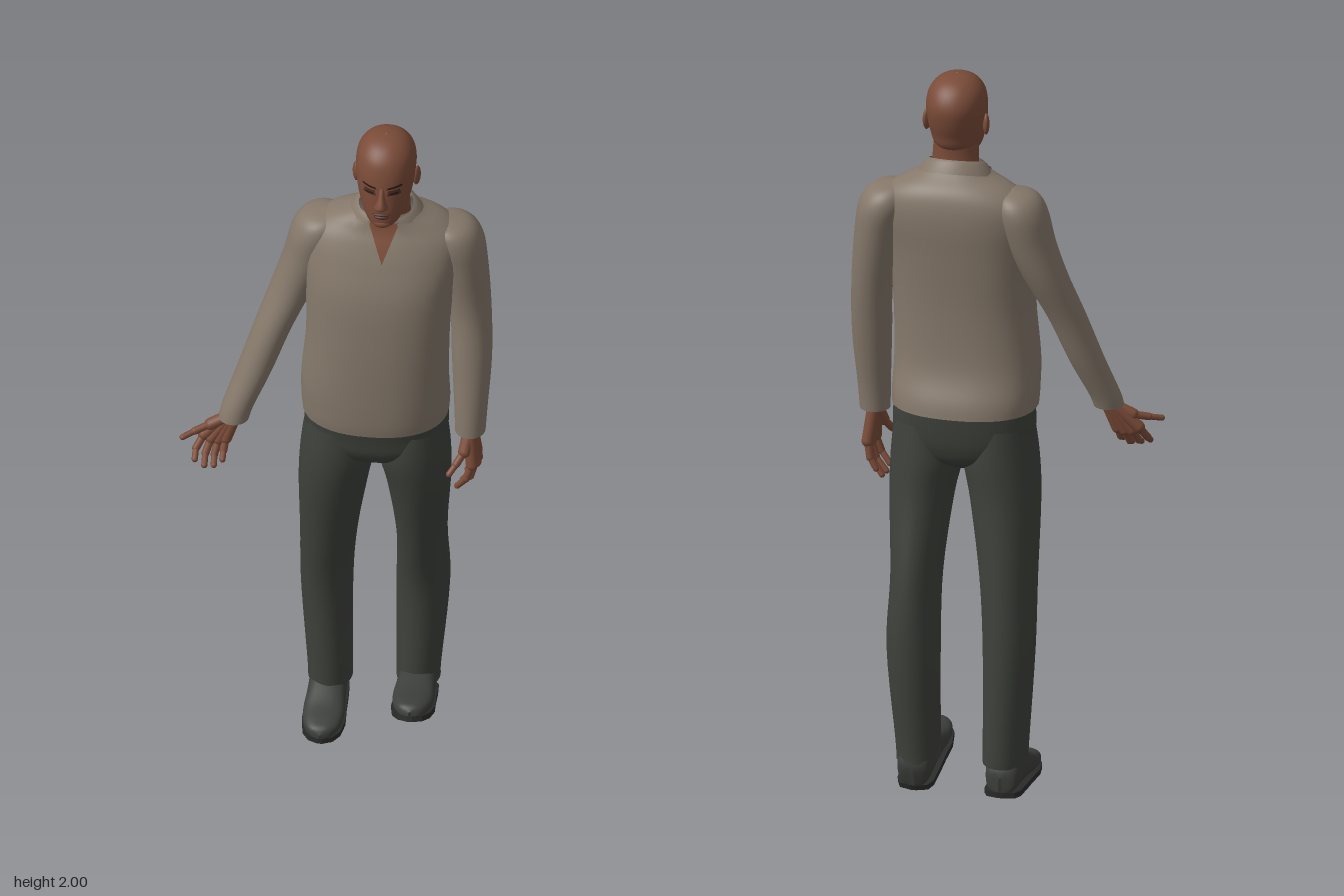
import * as THREE from 'three';

const mat = (name, color, side = THREE.FrontSide) => {
  const m = new THREE.MeshStandardMaterial({ color, side });
  m.name = name;
  return m;
};

// Smoothly subdivide a list of rings [y, x, z, rx, rz] (ascending y)
function dense(rings, steps = 5) {
  const out = [];
  const at = i => rings[Math.max(0, Math.min(rings.length - 1, i))];
  for (let i = 0; i < rings.length - 1; i++) {
    for (let s = 0; s < steps; s++) {
      const t = s / steps;
      out.push(at(i).map((b, k) => {
        const a = at(i - 1)[k], c = at(i + 1)[k], d = at(i + 2)[k];
        return b + 0.5 * t * (c - a + t * (2 * a - 5 * b + 4 * c - d + t * (3 * (b - c) + d - a)));
      }));
    }
  }
  out.push(at(rings.length - 1));
  return out;
}

function gridGeometry(pos, rows, cols, closed) {
  const index = [];
  for (let i = 0; i < rows - 1; i++) {
    for (let j = 0; j < (closed ? cols : cols - 1); j++) {
      const k = (j + 1) % cols;
      const a = i * cols + j, b = i * cols + k, c = a + cols, d = b + cols;
      index.push(a, b, d, a, d, c);
    }
  }
  const g = new THREE.BufferGeometry();
  g.setAttribute('position', new THREE.Float32BufferAttribute(pos, 3));
  g.setIndex(index);
  g.computeVertexNormals();
  return g;
}

// Skin over superelliptic rings; a gap leaves the front open, tilt dips the front
function loft(rings, { n = 2, seg = 36, gap = 0, tilt = 0 } = {}) {
  const pos = [], cols = gap ? seg + 1 : seg;
  const pw = v => Math.sign(v) * Math.abs(v) ** (2 / n);
  for (const [y, x, z, rx, rz] of rings) {
    for (let j = 0; j < cols; j++) {
      const a = gap + (j / seg) * (Math.PI * 2 - 2 * gap);
      const dz = rz * pw(Math.cos(a));
      pos.push(x + rx * pw(Math.sin(a)), y - tilt * dz, z + dz);
    }
  }
  return gridGeometry(pos, rings.length, cols, !gap);
}

// Front surface depth of a lofted body at x, y
function frontZ(rings, x, y, n) {
  let i = 0;
  while (i < rings.length - 2 && rings[i + 1][0] < y) i++;
  const t = (y - rings[i][0]) / (rings[i + 1][0] - rings[i][0]);
  const [, cx, cz, rx, rz] = rings[i].map((v, k) => v + (rings[i + 1][k] - v) * t);
  return cz + rz * Math.max(0, 1 - Math.abs((x - cx) / rx) ** n) ** (1 / n);
}

// Thin four-cornered face laid on a body: bottom left, bottom right, top left, top right
function patch(rings, n, [bl, br, tl, tr], offset) {
  const pos = [], N = 8, mix = THREE.MathUtils.lerp;
  for (let i = 0; i <= N; i++) {
    for (let j = 0; j <= N; j++) {
      const [x, y] = [0, 1].map(k => mix(mix(bl[k], br[k], j / N), mix(tl[k], tr[k], j / N), i / N));
      pos.push(x, y, frontZ(rings, x, y, n) + offset);
    }
  }
  return gridGeometry(pos, N + 1, N + 1, false);
}

export function createModel() {
  const model = new THREE.Group();
  const skin = mat('skin', 0x7a4b38);
  const darkSkin = mat('dark skin', 0x4f2e24);
  const eyeDark = mat('eye dark', 0x2a1a16);
  const cloth = mat('shirt cloth', 0x85786a, THREE.DoubleSide);
  const wool = mat('trouser cloth', 0x3e413b, THREE.DoubleSide);
  const leather = mat('shoe leather', 0x3d3f3c);
  const rubber = mat('sole rubber', 0x2a2b29);

  const add = (name, geo, material, parent = model) => {
    const m = new THREE.Mesh(geo, material);
    m.name = name;
    parent.add(m);
    return m;
  };
  const ball = (name, x, y, z, sx, sy, sz, material = skin) => {
    const m = add(name, new THREE.SphereGeometry(1, 20, 14), material);
    m.position.set(x, y, z);
    m.scale.set(sx, sy, sz);
    return m;
  };

  // Shirt body
  const torso = dense([
    [1.07, .10, .014, .197, .158], [1.11, .10, .02, .199, .156], [1.2, .10, .036, .198, .141],
    [1.35, .108, .038, .193, .135], [1.5, .112, .028, .2, .132], [1.6, .118, .01, .212, .12],
    [1.66, .122, 0, .205, .105], [1.7, .126, -.002, .16, .087], [1.73, .128, .01, .1, .067],
    [1.75, .128, .02, .075, .055]]);
  add('shirtBody', loft(torso, { n: 2.3, seg: 48 }), cloth);

  // Sleeves
  add('rightSleeve', loft(dense([
    [1.06, -.273, .108, .041, .042], [1.1, -.262, .098, .043, .045], [1.2, -.222, .07, .048, .052],
    [1.33, -.175, .04, .052, .058], [1.45, -.125, .008, .06, .068], [1.55, -.085, -.005, .068, .078],
    [1.64, -.06, -.008, .07, .085], [1.685, -.045, -.005, .052, .062], [1.7, -.03, -.005, .005, .005]])), cloth);
  add('leftSleeve', loft(dense([
    [1.02, .357, .037, .041, .046], [1.1, .358, .03, .045, .048], [1.25, .358, .008, .054, .055],
    [1.4, .352, -.012, .056, .062], [1.55, .333, -.015, .065, .08], [1.635, .315, -.015, .07, .085],
    [1.68, .3, -.01, .052, .062], [1.695, .285, -.01, .005, .005]])), cloth);

  // Collar with pointed flaps and an open neck
  const cx = .128;
  add('collar', loft([[1.72, cx, .018, .104, .082], [1.75, cx, .02, .086, .07], [1.758, cx, .022, .074, .062]],
    { gap: .5, tilt: .3 }), cloth);
  add('neckOpening', patch(torso, 2.3, [[cx, 1.62], [cx, 1.62], [cx - .042, 1.728], [cx + .042, 1.728]], .004), skin);
  for (const s of [-1, 1]) {
    add(s < 0 ? 'rightCollarFlap' : 'leftCollarFlap', patch(torso, 2.3, [
      [cx + s * .05, 1.69], [cx + s * .085, 1.675], [cx + s * .036, 1.73], [cx + s * .085, 1.728]], .009), cloth);
  }

  // Trousers
  add('trouserSeat', loft(dense([
    [.9, .1, 0, .03, .05], [.93, .1, 0, .13, .1], [.97, .1, .003, .185, .122],
    [1.02, .1, .003, .194, .13], [1.1, .1, .008, .19, .14]]), { n: 2.3, seg: 40 }), wool);
  add('rightTrouserLeg', loft(dense([
    [.08, -.033, -.07, .06, .076], [.13, -.034, -.07, .061, .078], [.4, -.042, -.066, .07, .085],
    [.6, -.034, -.04, .077, .1], [.81, -.017, -.007, .094, .114], [.93, -.002, .003, .102, .12],
    [1.03, .0, .004, .09, .115]])), wool);
  add('leftTrouserLeg', loft(dense([
    [.08, .202, -.093, .059, .072], [.13, .203, -.094, .06, .073], [.4, .214, -.1, .072, .085],
    [.6, .214, -.067, .068, .107], [.81, .212, -.017, .086, .116], [.93, .2, 0, .099, .122],
    [1.03, .2, .004, .09, .115]])), wool);

  // Shoes: [distance from heel, half width, height]
  const last = [[0, .005, .05], [.008, .036, .075], [.03, .047, .1], [.08, .05, .112], [.14, .052, .088],
    [.2, .056, .06], [.25, .048, .046], [.278, .03, .036], [.29, .004, .02]];
  const shoe = (name, x, z, tilt) => {
    const g = new THREE.Group();
    g.name = name;
    const upper = loft(dense(last.map(([t, w, h]) => [t, 0, -h / 2 - .008, w, h / 2])), { n: 2.5, seg: 28 });
    add(name + 'Upper', upper.rotateX(Math.PI / 2), leather, g);
    const side = last.map(([t, w]) => new THREE.Vector2(w + .003, t));
    const outline = new THREE.Shape([...side, ...side.map(p => new THREE.Vector2(-p.x, p.y)).reverse()]);
    const sole = new THREE.ExtrudeGeometry(outline, { depth: .016, bevelEnabled: false });
    add(name + 'Sole', sole.rotateX(Math.PI / 2).translate(0, .016, 0), rubber, g);
    g.position.set(x, 0, z);
    g.rotation.x = -tilt;
    model.add(g);
  };
  shoe('rightShoe', -.037, -.145, 0);
  shoe('leftShoe', .203, -.145, .3);

  // Neck and head
  const hx = .13;
  add('neck', loft(dense([[1.66, hx, .0, .066, .055], [1.72, hx, .014, .064, .053],
    [1.77, hx, .025, .063, .054], [1.83, hx, .03, .06, .06]])), skin);
  const head = dense([
    [1.752, hx, .108, .018, .022], [1.768, hx, .095, .042, .05], [1.8, hx, .06, .062, .088],
    [1.84, hx, .05, .073, .096], [1.88, hx, .042, .079, .102], [1.92, hx, .036, .081, .101],
    [1.955, hx, .036, .074, .088], [1.98, hx, .037, .056, .065], [1.994, hx, .038, .032, .036],
    [2, hx, .038, .002, .002]]);
  add('head', loft(head, { n: 2.1, seg: 40 }), skin);
  add('nose', loft(dense([[1.822, hx, .146, .006, .006], [1.831, hx, .147, .019, .02], [1.842, hx, .148, .015, .022],
    [1.865, hx, .144, .009, .014], [1.89, hx, .136, .007, .008]]), { seg: 20 }), skin);

  // Face details
  const facePlate = (name, x, y, w, h, slant, material) => add(name, patch(head, 2.1, [
    [x - w, y - h - slant], [x + w, y - h + slant], [x - w * .8, y + h - slant], [x + w * .8, y + h + slant]], .003), material);
  for (const s of [-1, 1]) {
    const label = s < 0 ? 'right' : 'left';
    facePlate(label + 'EyeSocket', hx + s * .033, 1.878, .018, .008, 0, darkSkin);
    facePlate(label + 'Eyebrow', hx + s * .034, 1.894, .021, .003, s * .002, eyeDark);
    const eye = facePlate(label + 'Eye', hx + s * .033, 1.877, .012, .003, 0, eyeDark);
    eye.position.z = .002;
    const ear = ball(label + 'Ear', hx + s * .082, 1.862, .032, .009, .03, .017);
    ear.rotation.y = -s * .3;
  }
  ball('upperLip', hx, 1.807, .146, .024, .005, .008, darkSkin);
  ball('lowerLip', hx, 1.798, .146, .02, .006, .008, darkSkin);
  ball('chin', hx, 1.772, .132, .026, .016, .017);

  // Hands: each digit is a chain of tapering capsules starting in the palm
  const up = new THREE.Vector3(0, 1, 0);
  const hand = (name, digits) => {
    const g = new THREE.Group();
    g.name = name;
    model.add(g);
    for (const [digit, ...pts] of digits) {
      for (let i = 0; i < pts.length - 1; i++) {
        const a = new THREE.Vector3(...pts[i]), b = new THREE.Vector3(...pts[i + 1]);
        const d = b.clone().sub(a);
        const m = add(digit, new THREE.CapsuleGeometry([.017, .0105, .0085][i], d.length(), 5, 12), skin, g);
        m.position.copy(a).addScaledVector(d, .5);
        m.quaternion.setFromUnitVectors(up, d.normalize());
      }
    }
  };
  hand('rightHand', [
    ['thumb', [-.285, 1.06, .108], [-.335, 1.035, .118], [-.375, 1.024, .14], [-.405, 1.016, .16]],
    ['indexFinger', [-.285, 1.065, .105], [-.352, 1.0, .118], [-.372, .965, .138], [-.372, .948, .165]],
    ['middleFinger', [-.28, 1.065, .105], [-.333, .99, .12], [-.346, .953, .142], [-.345, .938, .175]],
    ['ringFinger', [-.275, 1.065, .105], [-.313, .988, .12], [-.322, .95, .14], [-.32, .937, .17]],
    ['littleFinger', [-.268, 1.065, .106], [-.294, .993, .12], [-.298, .962, .136], [-.298, .95, .16]]]);
  hand('leftHand', [
    ['thumb', [.355, 1.02, .045], [.345, .97, .075], [.325, .94, .095], [.308, .918, .112]],
    ['indexFinger', [.357, 1.03, .05], [.365, .925, .07], [.35, .88, .075], [.325, .848, .068]],
    ['middleFinger', [.36, 1.03, .042], [.372, .92, .048], [.358, .87, .05], [.328, .835, .044]],
    ['ringFinger', [.36, 1.03, .034], [.373, .92, .027], [.36, .87, .025], [.334, .832, .02]],
    ['littleFinger', [.358, 1.03, .026], [.37, .93, .008], [.362, .885, .002], [.345, .855, 0]]]);

  return model;
}
